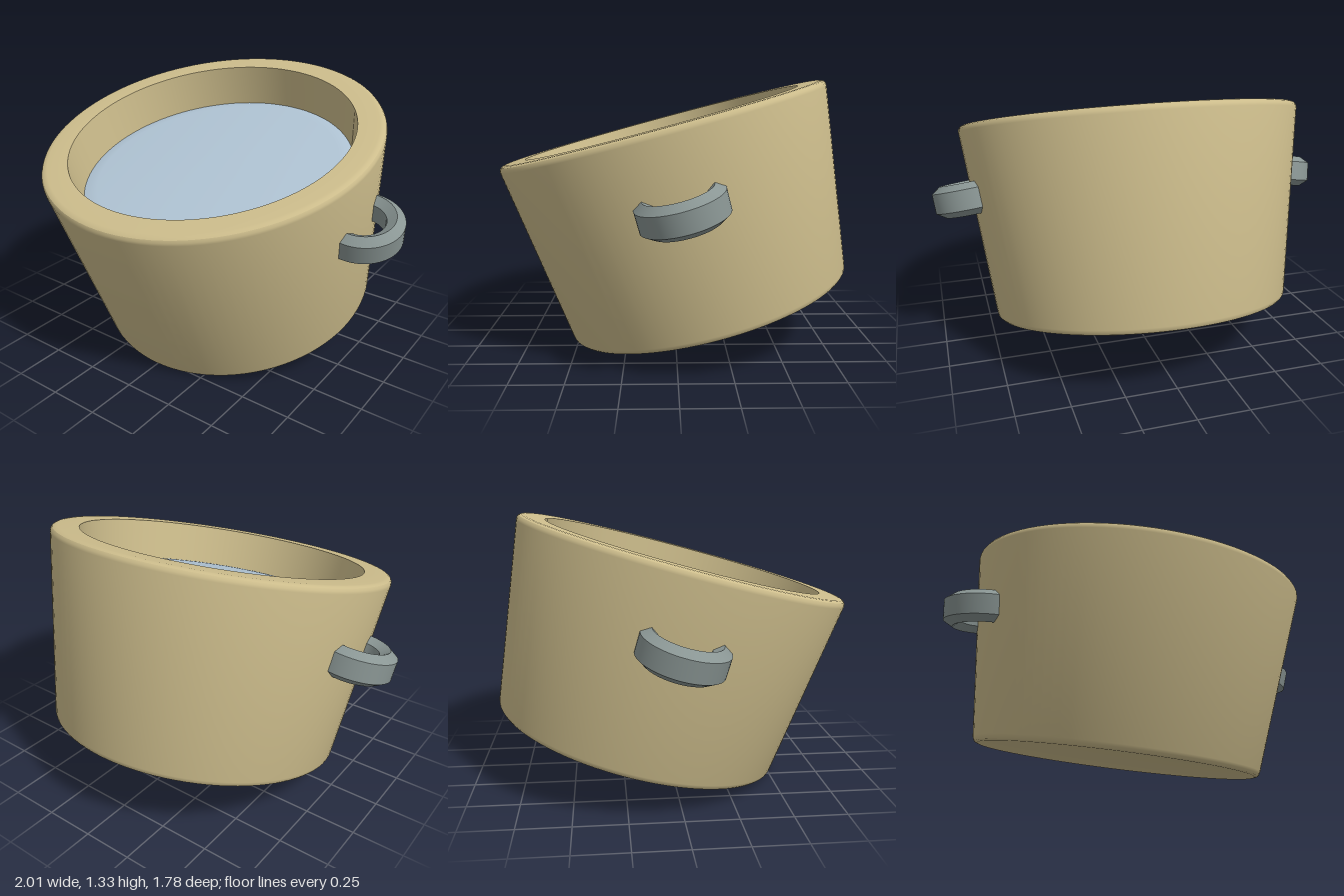
import * as THREE from 'three';
import { toCreasedNormals } from 'three/addons/utils/BufferGeometryUtils.js';

const TILT = THREE.MathUtils.degToRad(15);
const WALL_ANGLE = Math.atan(0.12 / 0.967);

// Revolves [radius, height] points, keeping strong edges crisp
function turned(name, profile, color, segments, start = 0, sweep = Math.PI * 2, crease = 0.5) {
  const points = profile.map(([r, y]) => new THREE.Vector2(r, y));
  const geometry = toCreasedNormals(new THREE.LatheGeometry(points, segments, start, sweep), crease);
  const mesh = new THREE.Mesh(geometry, new THREE.MeshStandardMaterial({ color }));
  mesh.name = name;
  return mesh;
}

export function createModel() {
  const model = new THREE.Group();
  model.name = 'tiltedTub';

  // Thick flared tub with softened outer edges
  const tub = turned('tub', [
    [0, 0], [0.715, 0], [0.73, 0.005], [0.738, 0.014], [0.742, 0.028],
    [0.856, 0.935], [0.855, 0.948], [0.848, 0.959], [0.837, 0.965], [0.822, 0.967],
    [0.72, 0.967], [0.62, 0.13], [0, 0.13],
  ], 0xcdbd8c, 96);

  // Water with a gently sloping rim
  const water = turned('water', [
    [0.694, 0.752], [0.66, 0.76], [0.625, 0.764], [0, 0.764],
  ], 0xb0c4d4, 96);
  model.add(tub, water);

  // Six-sided half-ring handles, square to the sloping wall
  const ring = 0.157;
  const section = [[0.043, -0.048], [0.043, 0.048], [0, 0.078], [-0.043, 0.048], [-0.043, -0.048], [0, -0.078], [0.043, -0.048]]
    .map(([r, y]) => [ring + r, y]);
  for (const side of [1, -1]) {
    const handle = turned(side > 0 ? 'leftHandle' : 'rightHandle', section, 0x8a9694, 32, -0.2, Math.PI + 0.4);
    handle.material.side = THREE.DoubleSide;
    handle.rotation.z = -WALL_ANGLE;
    const mount = new THREE.Group();
    mount.name = handle.name + 'Mount';
    handle.position.set(0.802, 0.62, 0);
    mount.rotation.y = side > 0 ? 0 : Math.PI;
    mount.add(handle);
    model.add(mount);
  }

  // Lean the whole tub forward onto its front edge
  model.rotation.x = TILT;
  model.position.set(0, 0.189, -0.177);
  const root = new THREE.Group();
  root.name = 'tub';
  root.add(model);
  return root;
}
